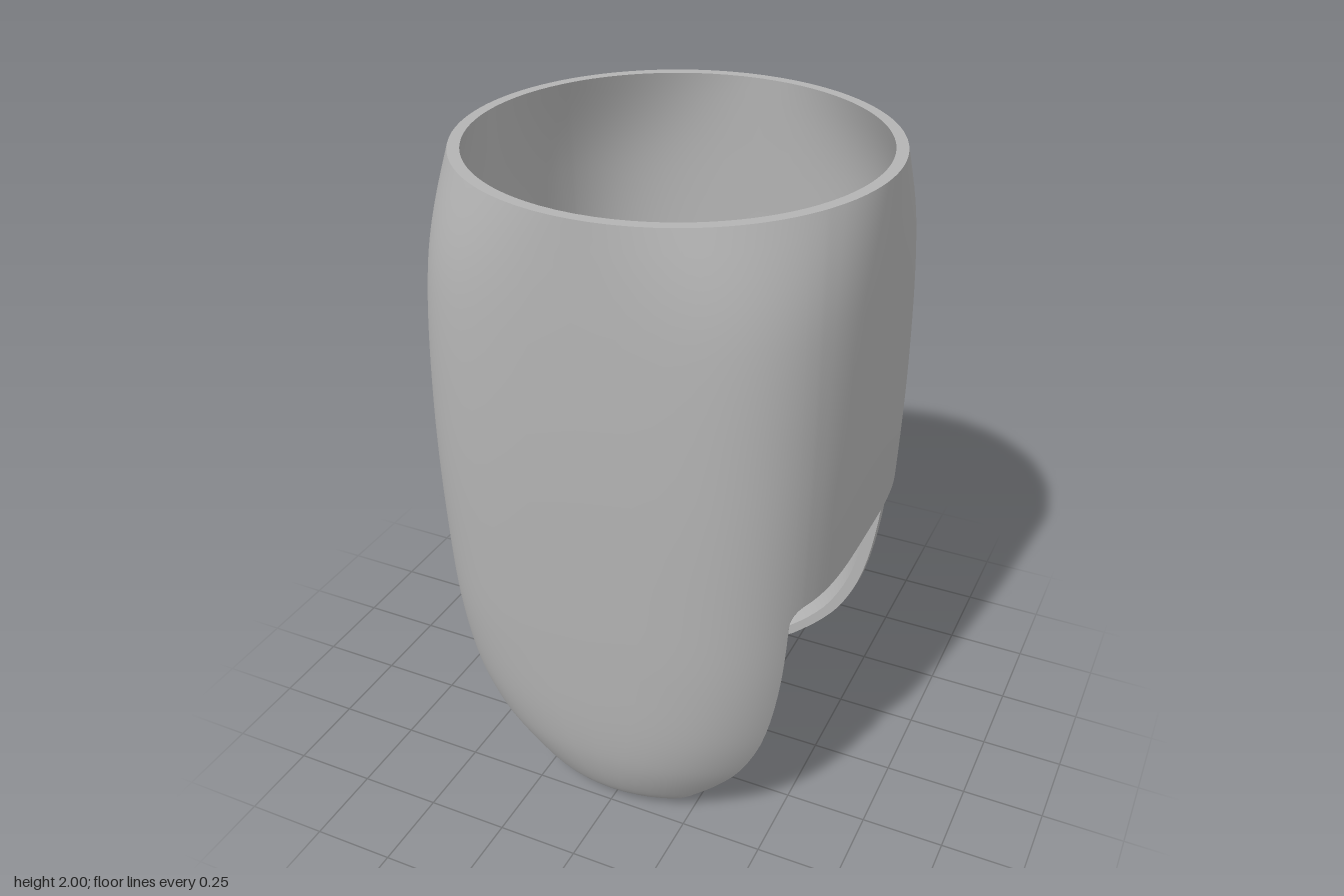
import * as THREE from 'three';

const TOP = 2, ROWS = 44;

// Half-width and squareness (superellipse exponent) of the section by height
const curve = (ys, vs) => {
  const c = new THREE.CubicInterpolant(ys, vs, 1);
  return (y) => c.evaluate(y)[0];
};
const halfWidth = curve(
  [0, 0.04, 0.1, 0.2, 0.3, 0.6, 0.87, 1.3, 1.7, 2],
  [0.447, 0.492, 0.528, 0.563, 0.581, 0.602, 0.613, 0.625, 0.625, 0.619]);
const squareness = curve(
  [0, 0.1, 0.25, 0.4, 0.6, 0.87, 1.3, 1.72, 2],
  [2, 2.05, 2.5, 3, 3.45, 3.6, 3.45, 2.95, 2]);

// Rows of points around a wall, from the slotted lower edge up to the top
function wall(inset, slotZ, slotY) {
  const b = (y) => halfWidth(y) - inset;
  // lowest height at which the wall still reaches past the slot
  let lo = 0, hi = 0.3;
  for (let k = 0; k < 40; k++) {
    const m = (lo + hi) / 2;
    if (b(m) < slotZ) lo = m; else hi = m;
  }
  // lower edge of one quarter: flap side, rounded slot corner, straight cut
  const r = 0.045, edge = [];
  for (let i = 0; i < 24; i++) {
    edge.push([slotZ, lo + (slotY - r - lo) * (i / 24) ** 2]);
  }
  for (let i = 0; i <= 6; i++) {
    const a = (i / 6) * Math.PI / 2;
    edge.push([slotZ - r + r * Math.cos(a), slotY - r + r * Math.sin(a)]);
  }
  for (let i = 1; i <= 12; i++) edge.push([(slotZ - r) * (1 - i / 12), slotY]);

  const quarter = edge.map(([z, y0]) => {
    const q = Math.min(1, z / b(y0)) ** (squareness(y0) / 2);
    return Array.from({ length: ROWS + 1 }, (_, i) => {
      const y = y0 + (TOP - y0) * (i / ROWS) ** 1.5;
      const n = squareness(y), w = b(y);
      return [w * Math.max(0, 1 - q * q) ** (1 / n), y, w * q ** (2 / n)];
    });
  });
  quarter[0].forEach((p) => { p[0] = 0; });

  // mirror the quarter into a full ring of columns
  const flip = (cols, sx, sz) => cols.map((c) => c.map(([x, y, z]) => [x * sx, y, z * sz]));
  const back = quarter.slice().reverse();
  const ring = [
    ...quarter,
    ...flip(back, 1, -1).slice(1),
    ...flip(quarter, -1, -1).slice(1),
    ...flip(back, -1, 1).slice(1, -1),
  ];
  return Array.from({ length: ROWS + 1 }, (_, i) => ring.map((c) => c[i]));
}

// Closed band of quads through rows of points
function band(rows) {
  const n = rows[0].length, index = [];
  for (let i = 0; i < rows.length - 1; i++) {
    for (let j = 0; j < n; j++) {
      const k = (j + 1) % n;
      const a = i * n + j, b = i * n + k;
      index.push(a, b, b + n, a, b + n, a + n);
    }
  }
  const g = new THREE.BufferGeometry();
  g.setAttribute('position', new THREE.Float32BufferAttribute(rows.flat(2), 3));
  g.setIndex(index);
  g.computeVertexNormals();
  return g;
}

export function createModel() {
  const group = new THREE.Group();
  group.name = 'slottedSleeve';
  const grey = new THREE.MeshStandardMaterial({ color: 0xb3b3b3 });
  grey.name = 'grey';
  const add = (name, rows) => {
    const mesh = new THREE.Mesh(band(rows), grey);
    mesh.name = name;
    group.add(mesh);
  };

  const outer = wall(0, 0.452, 0.882);
  const lip = wall(0.01, 0.437, 0.868);
  const inner = wall(0.034, 0.437, 0.868);

  add('outerWall', outer);
  add('innerWall', inner.slice().reverse());
  add('roundedLowerLip', [lip[0], outer[0]]);
  add('lowerRim', [inner[0], lip[0]]);
  add('topRim', [outer[ROWS], inner[ROWS]]);
  return group;
}
